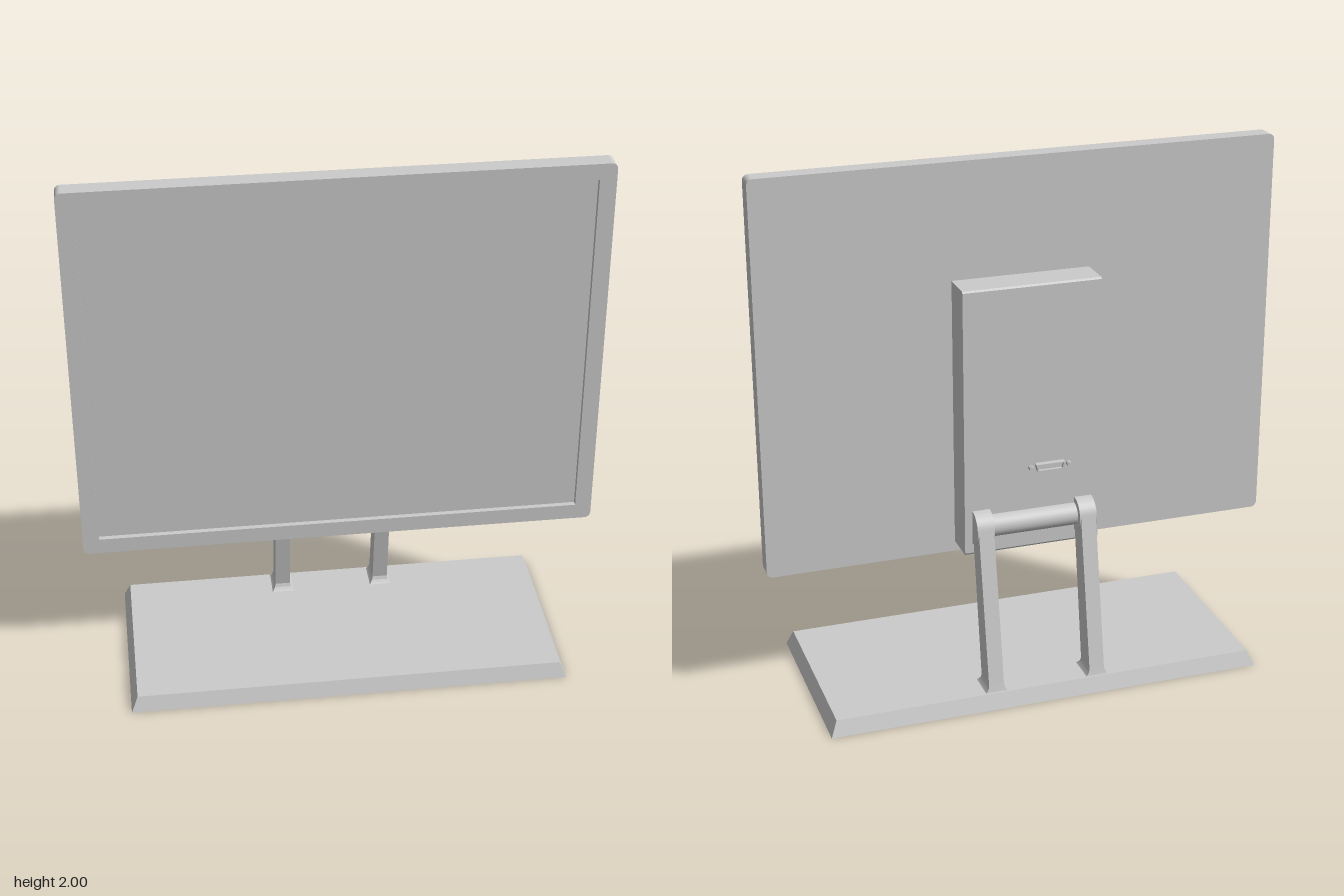
import * as THREE from 'three';

const mat = new THREE.MeshStandardMaterial({ color: 0xcccccc, flatShading: true });
const smooth = new THREE.MeshStandardMaterial({ color: 0xcccccc });

function add(parent, name, geometry, x = 0, y = 0, z = 0, material = mat) {
  const mesh = new THREE.Mesh(geometry, material);
  mesh.name = name;
  mesh.position.set(x, y, z);
  parent.add(mesh);
  return mesh;
}

const extrude = (shape, depth) =>
  new THREE.ExtrudeGeometry(shape, { depth, bevelEnabled: false, curveSegments: 12 });

// Rectangle with rounded corners, centred on the origin
function roundedRect(w, h, r) {
  const s = new THREE.Shape();
  const x = w / 2 - r, y = h / 2 - r;
  s.absarc(x, y, r, 0, Math.PI / 2);
  s.absarc(-x, y, r, Math.PI / 2, Math.PI);
  s.absarc(-x, -y, r, Math.PI, Math.PI * 1.5);
  s.absarc(x, -y, r, Math.PI * 1.5, Math.PI * 2);
  s.closePath();
  return s;
}

// Closed solid through stacked rectangles [y, halfWidth, zBack, zFront]
function loft(sections) {
  const pos = [], idx = [];
  for (const [y, w, zb, zf] of sections) pos.push(-w, y, zf, w, y, zf, w, y, zb, -w, y, zb);
  const n = sections.length;
  for (let i = 0; i < n - 1; i++) {
    for (let k = 0; k < 4; k++) {
      const a = i * 4 + k, b = i * 4 + (k + 1) % 4;
      idx.push(a, b, b + 4, a, b + 4, a + 4);
    }
  }
  const t = (n - 1) * 4;
  idx.push(0, 2, 1, 0, 3, 2, t, t + 1, t + 2, t, t + 2, t + 3);
  const g = new THREE.BufferGeometry();
  g.setAttribute('position', new THREE.Float32BufferAttribute(pos, 3));
  g.setIndex(idx);
  const flat = g.toNonIndexed();
  flat.computeVertexNormals();
  return flat;
}

export function createModel() {
  const model = new THREE.Group();
  model.name = 'monitor';

  // Display: solid back, with a raised bezel around the recessed screen
  const W = 1.95, H = 1.495, midY = 1.2525;
  const display = new THREE.Group();
  display.name = 'display';
  model.add(display);
  add(display, 'screenPanel', extrude(roundedRect(W, H, 0.022), 0.05), 0, midY, -0.035);
  const bezel = roundedRect(W, H, 0.022);
  const w = 0.913, h = 0.686;
  bezel.holes.push(new THREE.Path([
    new THREE.Vector2(-w, -h), new THREE.Vector2(-w, h),
    new THREE.Vector2(w, h), new THREE.Vector2(w, -h),
  ]));
  add(display, 'bezel', extrude(bezel, 0.02), 0, midY, 0.015);

  // Electronics housing on the back
  add(model, 'rearHousing', loft([
    [0.545, 0.26, -0.16, -0.035], [0.552, 0.26, -0.165, -0.035],
    [1.56, 0.26, -0.165, -0.035], [1.567, 0.26, -0.16, -0.035],
  ]));

  // Video socket: tapered shell with pin block and two screw posts
  const port = new THREE.Group();
  port.name = 'videoSocket';
  port.position.set(-0.065, 0.865, -0.165);
  model.add(port);
  const trapezoid = (a, b, c) => [[-a, -c], [a, -c], [b, c], [-b, c]].map(p => new THREE.Vector2(...p));
  const shell = new THREE.Shape(trapezoid(0.05, 0.056, 0.014));
  shell.holes.push(new THREE.Path(trapezoid(0.045, 0.051, 0.010).reverse()));
  add(port, 'socketShell', extrude(shell, 0.022), 0, 0, -0.022);
  add(port, 'pinBlock', extrude(new THREE.Shape(trapezoid(0.046, 0.052, 0.011)), 0.01), 0, 0, -0.01);
  for (const s of [-1, 1]) {
    add(port, 'screwPost', new THREE.CylinderGeometry(0.009, 0.009, 0.022, 6).rotateX(Math.PI / 2),
      s * 0.073, 0, -0.011);
  }

  // Base plate with sloping sides
  add(model, 'base', loft([[0, 0.835, -0.375, 0.375], [0.058, 0.81, -0.353, 0.353]]));

  // Arm side profile, drawn with u = -z
  const arm = new THREE.Shape();
  arm.moveTo(0.165, 0.59);
  arm.lineTo(0.249, 0.085);
  arm.lineTo(0.340, 0.085);
  arm.lineTo(0.229, 0.667);
  arm.absarc(0.165, 0.655, 0.065, 0.19, Math.PI / 2, false);
  arm.closePath();

  // Pair of leaning arms with flared feet and round pivot heads
  for (const s of [-1, 1]) {
    const leg = new THREE.Group();
    leg.name = s > 0 ? 'leftArm' : 'rightArm';
    leg.position.x = s * 0.198;
    model.add(leg);
    add(leg, 'armBar', extrude(arm, 0.058).rotateY(Math.PI / 2), -0.029);
    add(leg, 'armFoot', loft([
      [0.056, 0.044, -0.347, -0.230], [0.063, 0.038, -0.345, -0.237],
      [0.072, 0.032, -0.343, -0.244], [0.086, 0.029, -0.340, -0.249],
    ]));
    const head = new THREE.CylinderGeometry(0.065, 0.065, 0.066, 32, 1, false, Math.PI / 2, Math.PI);
    head.rotateZ(Math.PI / 2);
    // Turn the half round so its curve faces the rear
    head.computeBoundingBox();
    if (head.boundingBox.max.z > 0.01) head.rotateY(Math.PI);
    add(leg, 'pivotHead', head, 0, 0.655, -0.165, smooth);
  }

  // Hinge rod joining the arms
  add(model, 'hingeRod', new THREE.CylinderGeometry(0.043, 0.043, 0.36, 32).rotateZ(Math.PI / 2),
    0, 0.655, -0.165, smooth);

  return model;
}
